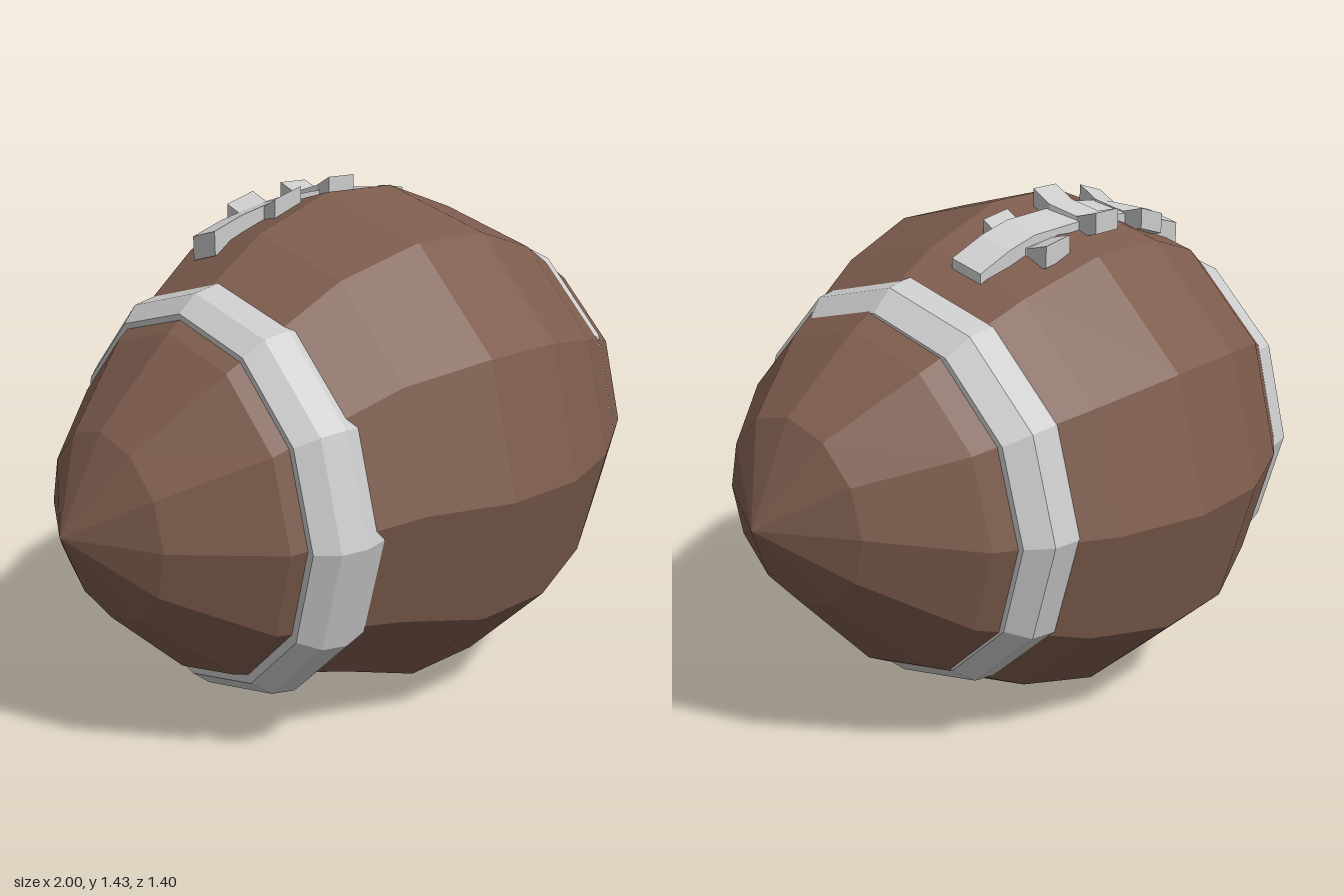
import * as THREE from 'three';

const SIDES = 12;
const leather = new THREE.MeshStandardMaterial({ color: 0x7d5c4d, flatShading: true });
const grey = new THREE.MeshStandardMaterial({ color: 0xcccccc, flatShading: true });

// Skin a row of equal-length cross-sections (ordered along +x, each running top -> +z -> bottom).
function loft(name, sections, material) {
  const n = sections[0].length;
  const pos = [], index = [];
  sections.forEach(s => s.forEach(p => pos.push(...p)));
  for (let i = 0; i < sections.length - 1; i++) {
    for (let j = 0; j < n; j++) {
      const k = (j + 1) % n;
      const a = i * n + j, b = i * n + k, c = a + n, d = b + n;
      index.push(a, b, d, a, d, c);
    }
  }
  const geo = new THREE.BufferGeometry();
  geo.setAttribute('position', new THREE.Float32BufferAttribute(pos, 3));
  geo.setIndex(index);
  const flat = geo.toNonIndexed();
  flat.computeVertexNormals();
  const mesh = new THREE.Mesh(flat, material);
  mesh.name = name;
  return mesh;
}

// Twelve-sided ring across the long axis.
function ring(x, y, z, r) {
  return Array.from({ length: SIDES }, (_, j) => {
    const a = (j / SIDES) * Math.PI * 2;
    return [x, y + r * Math.cos(a), z + r * Math.sin(a)];
  });
}

// Closed strap following top-centre points; slope tilts it across its width.
function strap(name, points, halfWidth, thickness, slope) {
  const sections = points.map(([x, y, z]) => {
    const rise = slope * halfWidth;
    return [
      [x, y - rise, z - halfWidth],
      [x, y + rise, z + halfWidth],
      [x, y + rise - thickness, z + halfWidth],
      [x, y - rise - thickness, z - halfWidth],
    ];
  });
  const cap = ([x, y, z]) => Array(4).fill([x, y - thickness / 2, z]);
  sections.unshift(cap(points[0]));
  sections.push(cap(points[points.length - 1]));
  return loft(name, sections, grey);
}

export function createModel() {
  const model = new THREE.Group();
  model.name = 'football';

  // Leather body: x, centre y, centre z, radius; the two tips are slightly off axis
  const body = [
    [-1, 0.66, 0.04, 0],
    [-0.87, 0.655, 0.04, 0.245],
    [-0.66, 0.655, 0.04, 0.455],
    [-0.33, 0.7, 0, 0.615],
    [-0.1, 0.7, 0, 0.7],
    [0.14, 0.7, 0, 0.7],
    [0.38, 0.7, 0, 0.618],
    [0.655, 0.706, 0, 0.455],
    [0.87, 0.75, 0, 0.245],
    [1, 0.745, 0, 0],
  ];
  model.add(loft('body', body.map(s => ring(...s)), leather));

  // Stripe bands, part sunk into the leather: x, radius
  const bands = [
    ['rightStripe', 0.655, 0.033,
      [[-0.62, 0.42], [-0.62, 0.495], [-0.57, 0.54], [-0.5, 0.555], [-0.43, 0.538], [-0.43, 0.45]]],
    ['leftStripe', 0.71, -0.018,
      [[0.42, 0.45], [0.42, 0.53], [0.475, 0.55], [0.545, 0.538], [0.6, 0.485], [0.6, 0.42]]],
  ];
  for (const [name, y, z, profile] of bands) {
    model.add(loft(name, profile.map(([x, r]) => ring(x, y, z, r)), grey));
  }

  // Lacing: one long strap with three cross straps
  const laces = new THREE.Group();
  laces.name = 'laces';
  laces.add(strap('longLace', [
    [-0.39, 1.3, -0.165], [-0.28, 1.33, -0.185], [-0.15, 1.365, -0.175], [-0.05, 1.375, -0.165],
    [0.1, 1.375, -0.175], [0.22, 1.365, -0.16], [0.31, 1.34, -0.155], [0.4, 1.295, -0.14],
  ], 0.048, 0.065, 0.26));

  // Cross straps: x, drop, tilt
  for (const [x, drop, tilt] of [[-0.175, 0.03, 0.3], [0.02, 0, 0], [0.215, 0.045, -0.15]]) {
    const cross = strap('crossLace', [
      [0.065, 1.43 - drop, -0.005], [0.135, 1.4 - drop, 0.012],
      [0.21, 1.375 - drop, -0.008], [0.285, 1.395 - drop, 0.005],
    ], 0.046, 0.055, tilt);
    cross.rotation.y = Math.PI / 2;
    cross.position.x = x;
    laces.add(cross);
  }
  model.add(laces);

  return model;
}
